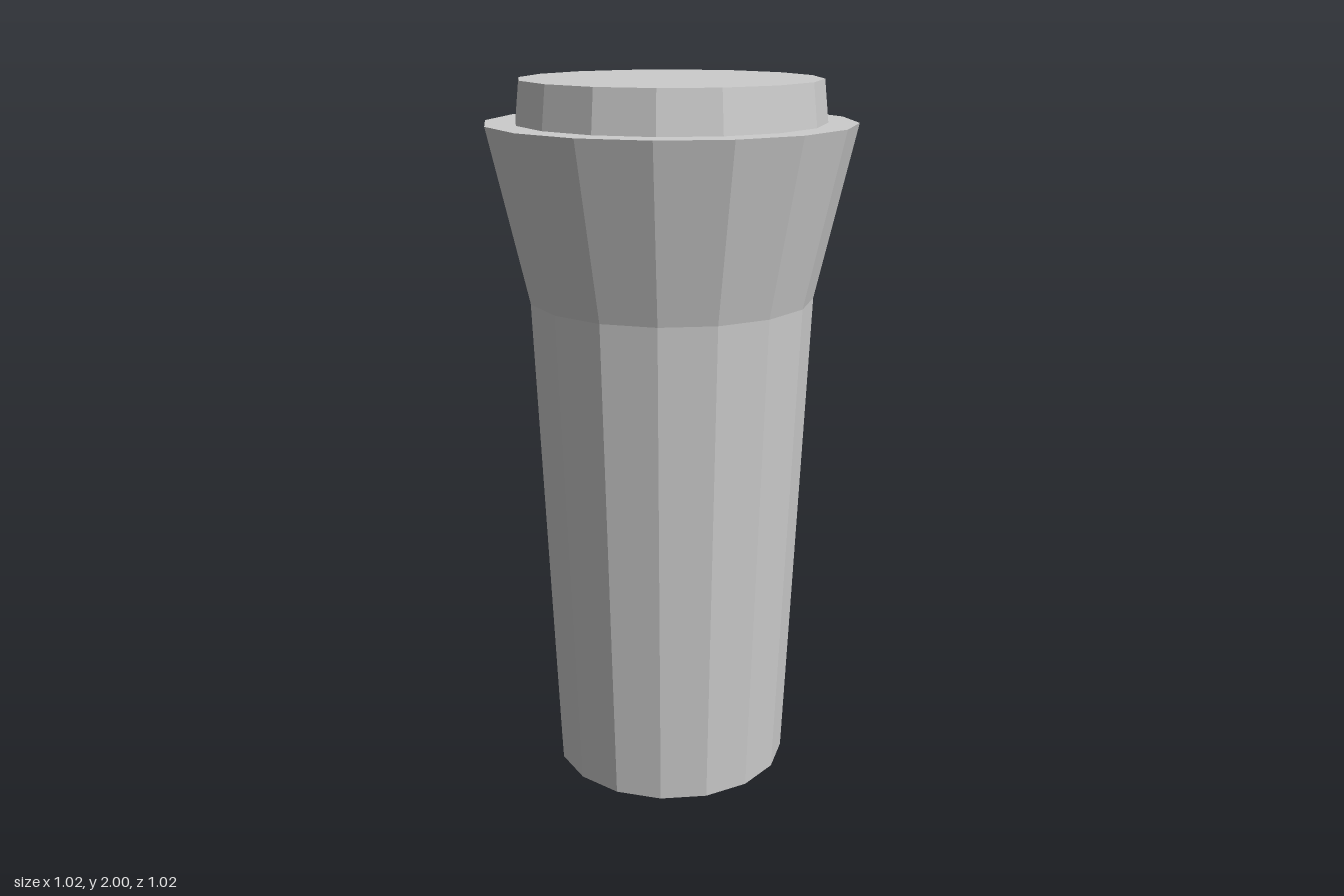
import * as THREE from 'three';

const SIDES = 16;
const grey = new THREE.MeshStandardMaterial({ color: 0xcccccc });
grey.name = 'light grey';

// Faceted solid of revolution from [radius, height] pairs, listed bottom to top
function turned(name, profile) {
  const points = profile.map(([r, y]) => new THREE.Vector2(r, y));
  const geometry = new THREE.LatheGeometry(points, SIDES).toNonIndexed();
  geometry.computeVertexNormals();
  const mesh = new THREE.Mesh(geometry, grey);
  mesh.name = name;
  return mesh;
}

export function createModel() {
  const model = new THREE.Group();
  model.name = 'flaredPost';

  // Tapered shaft with closed base
  model.add(turned('shaft', [[0, 0], [0.34, 0], [0.4, 1.405]]));

  // Flared collar with flat rim, running in to the cap
  model.add(turned('collar', [[0.4, 1.405], [0.51, 1.885], [0.426, 1.885]]));

  // Slightly tapered cap
  model.add(turned('cap', [[0.426, 1.885], [0.414, 2], [0, 2]]));

  return model;
}
